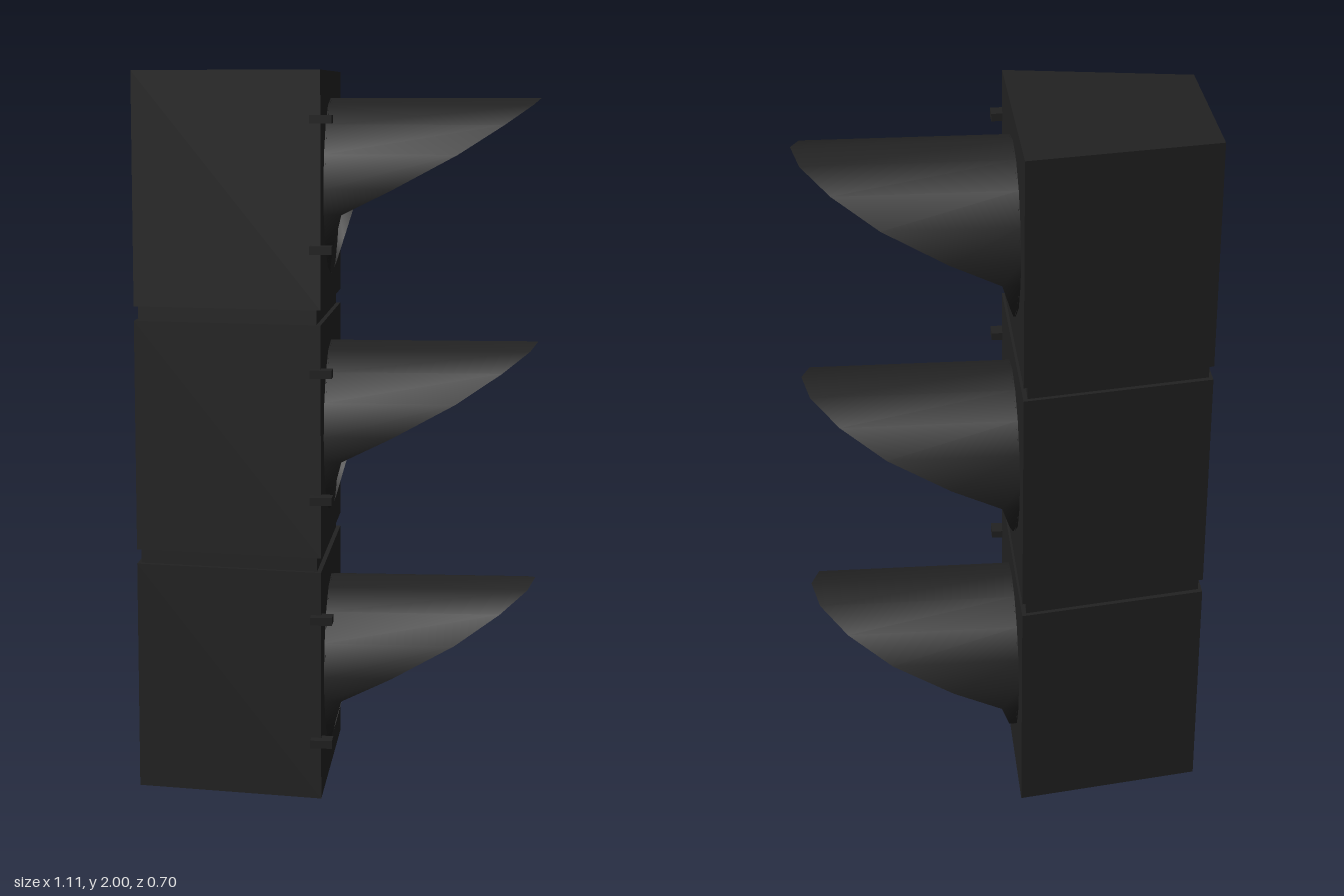
import * as THREE from 'three';

const black = new THREE.MeshStandardMaterial({ color: 0x222222 });
black.name = 'matt black';
const blackShell = new THREE.MeshStandardMaterial({ color: 0x222222, side: THREE.DoubleSide });
blackShell.name = 'matt black shell';

const CZ = -0.015;     // centre line of the housing
const FACE = -0.033;   // x of the door face
const RADIUS = 0.245;

function add(parent, name, geometry, material, x = 0, y = 0, z = 0) {
  const mesh = new THREE.Mesh(geometry, material);
  mesh.name = name;
  mesh.position.set(x, y, z);
  parent.add(mesh);
  return mesh;
}

// Upright block, narrower at the back than at the door
function taperedBlock(back, front, halfBack, halfFront, height) {
  const shape = new THREE.Shape([
    new THREE.Vector2(back, -halfBack), new THREE.Vector2(front, -halfFront),
    new THREE.Vector2(front, halfFront), new THREE.Vector2(back, halfBack),
  ]);
  return new THREE.ExtrudeGeometry(shape, { depth: height, bevelEnabled: false }).rotateX(-Math.PI / 2);
}

// Half of the visor rim: angle from the top, and how far it reaches in x
const RIM = [[0, 0.555], [22.5, 0.532], [45, 0.455], [67.5, 0.33], [90, 0.155],
  [106.5, 0.015], [130, -0.01], [155, -0.026], [180, FACE + 0.001]];

// Open hood: a tube cut away underneath
function visorGeometry() {
  const loop = [
    ...RIM.slice(1).reverse().map(([a, x]) => [-a, x]),
    ...RIM,
  ];
  const positions = [], index = [];
  loop.forEach(([deg, x], i) => {
    const a = THREE.MathUtils.degToRad(deg);
    const y = RADIUS * Math.cos(a), z = RADIUS * Math.sin(a);
    positions.push(FACE, y, z, x, y, z);
    if (i > 0) {
      const k = 2 * i;
      index.push(k - 2, k, k - 1, k, k + 1, k - 1);
    }
  });
  const g = new THREE.BufferGeometry();
  g.setAttribute('position', new THREE.Float32BufferAttribute(positions, 3));
  g.setIndex(index);
  g.computeVertexNormals();
  return g;
}

export function createModel() {
  const model = new THREE.Group();
  model.name = 'trafficSignal';

  const housing = taperedBlock(-0.555, FACE, 0.254, 0.337, 0.64);
  const joint = taperedBlock(-0.545, -0.045, 0.24, 0.323, 0.04);
  const visor = visorGeometry();
  const lens = new THREE.CircleGeometry(RADIUS - 0.002, 32).rotateY(Math.PI / 2);
  const hinge = new THREE.BoxGeometry(0.06, 0.022, 0.05);

  ['lower', 'middle', 'upper'].forEach((level, i) => {
    const section = new THREE.Group();
    section.name = level + 'Section';
    section.position.y = i * 0.68;
    model.add(section);

    add(section, 'housing', housing, black, 0, 0, CZ);
    add(section, 'lens', lens, black, FACE + 0.004, 0.32, CZ);
    add(section, 'visor', visor, blackShell, 0, 0.32, CZ);
    for (const y of [0.163, 0.51]) add(section, 'hinge', hinge, black, -0.031, y, 0.325);

    // Recessed collar between neighbouring sections
    if (i < 2) add(section, 'joint', joint, black, 0, 0.64, CZ);
  });

  return model;
}
